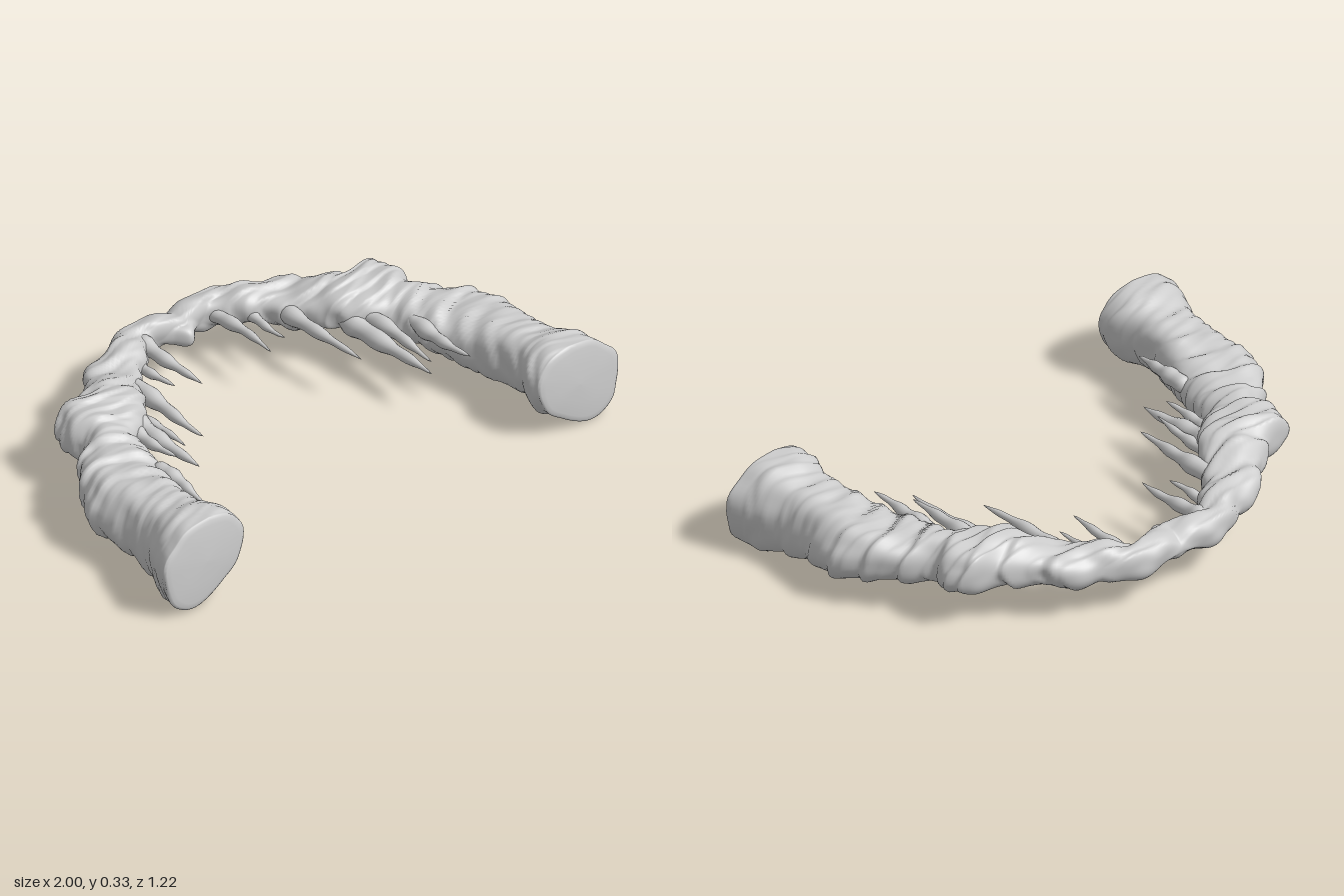
import * as THREE from 'three';

const material = new THREE.MeshStandardMaterial({ color: 0xcccccc, side: THREE.DoubleSide });

// Half of the arch, foot to crown: outer x, outer z, inner x, inner z, bottom y, top y
const STATIONS = [
  [0.995, 0.60, 0.65, 0.60, 0.03, 0.325],
  [0.975, 0.53, 0.655, 0.53, 0.015, 0.33],
  [0.93, 0.42, 0.68, 0.44, 0.04, 0.305],
  [0.915, 0.32, 0.66, 0.29, 0.05, 0.29],
  [0.93, 0.14, 0.61, 0.12, 0.07, 0.27],
  [0.89, 0.03, 0.585, 0.04, 0.09, 0.27],
  [0.81, -0.07, 0.55, -0.06, 0.10, 0.27],
  [0.73, -0.15, 0.49, -0.11, 0.10, 0.28],
  [0.75, -0.23, 0.43, -0.17, 0.11, 0.29],
  [0.71, -0.31, 0.41, -0.21, 0.12, 0.295],
  [0.59, -0.34, 0.38, -0.24, 0.12, 0.28],
  [0.51, -0.41, 0.34, -0.28, 0.12, 0.26],
  [0.41, -0.49, 0.28, -0.37, 0.12, 0.25],
  [0.28, -0.55, 0.21, -0.43, 0.12, 0.25],
  [0.14, -0.61, 0.12, -0.49, 0.12, 0.24],
  [0.07, -0.60, 0.06, -0.485, 0.13, 0.235],
  [0.00, -0.595, 0.00, -0.44, 0.13, 0.23],
];

// Hanging spikes: x, y, root z, tip z, radius
const SPIKES = [
  [-0.625, 0.21, 0.10, 0.37, 0.034],
  [-0.525, 0.20, -0.18, 0.10, 0.030],
  [-0.48, 0.18, -0.24, 0.16, 0.042],
  [-0.445, 0.19, -0.26, 0.06, 0.026],
  [-0.35, 0.19, -0.38, 0.04, 0.036],
  [-0.24, 0.18, -0.50, -0.25, 0.026],
  [-0.16, 0.19, -0.56, -0.20, 0.032],
  [0.155, 0.18, -0.56, -0.20, 0.028],
  [0.245, 0.18, -0.50, -0.24, 0.024],
  [0.335, 0.19, -0.42, 0.04, 0.032],
  [0.475, 0.18, -0.25, 0.25, 0.042],
  [0.515, 0.20, -0.20, 0.21, 0.034],
  [0.60, 0.22, -0.02, 0.30, 0.032],
];

const spow = (v, p) => Math.sign(v) * Math.abs(v) ** p;

// Sawtooth with a slow rise and a quick drop, range -0.5 to 0.5
function saw(s) {
  const f = s - Math.floor(s);
  return (f < 0.8 ? f / 0.8 : (1 - f) / 0.2) - 0.5;
}

// Layered rock relief: overlapping shelves stacked along z plus lumps
function relief(x, y, z) {
  const ax = Math.abs(x);
  const warp = 0.22 * Math.sin(9 * ax + 5 * y) + 0.2 * Math.sin(19 * y + 11 * ax);
  const patch = 0.5 + 0.5 * Math.sin(13 * ax + 17 * y + 5 * z);
  const shelves = saw(8.5 * z + 1.6 * ax + warp) * (0.5 + patch);
  const fine = saw(19 * z - 2.5 * ax + 1.5 * warp) * (1.3 - patch);
  const lumps = Math.sin(21 * ax + 3) * Math.sin(23 * y + 11 * z)
    + Math.sin(33 * ax - 29 * y) + 0.7 * Math.sin(47 * y + 38 * z) * Math.sin(41 * ax);
  return 0.015 * shelves + 0.008 * fine + 0.005 * lumps;
}

function rockArch() {
  const mirrored = STATIONS.slice(0, -1).reverse().map(([a, b, c, d, e, f]) => [-a, b, -c, d, e, f]);
  const all = [...STATIONS, ...mirrored].reverse(); // runs from -x to +x
  const curve = (pick) => new THREE.CatmullRomCurve3(all.map(pick), false, 'centripetal');
  const outer = curve((s) => new THREE.Vector3(s[0], 0, s[1]));
  const inner = curve((s) => new THREE.Vector3(s[2], 0, s[3]));
  const heights = curve((s, i) => new THREE.Vector3(i * 0.1, s[4], s[5]));

  // Ring list: parameter, scale; the ends close with a rounded flat face
  const N = 360, M = 56;
  const cap = [0, 0.5, 0.85, 0.95];
  const rings = [
    ...cap.map((s) => [0, s]),
    ...Array.from({ length: N + 1 }, (_, i) => [i / N, 1]),
    ...cap.slice().reverse().map((s) => [1, s]),
  ];

  const pos = [], index = [];
  rings.forEach(([t, scale], i) => {
    const o = outer.getPoint(t), n = inner.getPoint(t), h = heights.getPoint(t);
    const c = o.clone().add(n).multiplyScalar(0.5);
    const half = o.clone().sub(n).multiplyScalar(0.5);
    const dir = half.clone().normalize();
    const cy = (h.y + h.z) / 2, hy = (h.z - h.y) / 2;
    const foot = THREE.MathUtils.smoothstep(c.z, -0.1, 0.6);
    const bulge = scale < 1 ? 0.015 * Math.sqrt(1 - scale * scale) : 0;
    for (let j = 0; j < M; j++) {
      const a = (j / M) * Math.PI * 2;
      const u = spow(Math.cos(a), 0.85), v = spow(Math.sin(a), 0.85);
      const p = c.clone().addScaledVector(half, u * scale);
      // the foot hangs lower on its outer side, its top is nearly level
      const shear = v < 0 ? 0.015 - 0.045 * v : 0.015;
      p.y = cy + (hy * v - foot * shear * u) * scale;
      const d = relief(p.x, p.y, p.z) * scale * (1 - 0.45 * foot);
      p.addScaledVector(dir, d * Math.cos(a));
      p.y += d * Math.sin(a);
      // end faces lean forward at the bottom
      p.z += bulge - foot ** 4 * 0.06 * (p.y - 0.17);
      pos.push(THREE.MathUtils.clamp(p.x, -1, 1), Math.max(p.y, 0), p.z);
      if (i < rings.length - 1) {
        const k = (j + 1) % M, r = i * M;
        index.push(r + j, r + k, r + M + j, r + k, r + M + k, r + M + j);
      }
    }
  });
  const g = new THREE.BufferGeometry();
  g.setAttribute('position', new THREE.Float32BufferAttribute(pos, 3));
  g.setIndex(index);
  g.computeVertexNormals();
  return g;
}

// Knobbly tapering spike pointing along +z, with a rounded root
function spike(length, r, seed) {
  const steps = 24, profile = [];
  for (let i = 0; i <= steps; i++) {
    const t = i / steps;
    const root = Math.sqrt(Math.min(1, t / 0.2));
    const taper = root * (0.75 * (1 - t) + 0.4 * Math.sqrt(1 - t));
    profile.push(new THREE.Vector2(r * taper * (1 + 0.13 * Math.sin(t * 21 + seed)), t * length));
  }
  const g = new THREE.LatheGeometry(profile, 14);
  g.rotateX(Math.PI / 2);
  const p = g.attributes.position;
  for (let i = 0; i < p.count; i++) {
    const k = p.getZ(i) / length;
    p.setX(i, p.getX(i) + 0.008 * k * Math.sin(5 * k + seed));
    p.setY(i, p.getY(i) * 1.1 + 0.006 * Math.sin(4 * k + seed * 2));
  }
  g.computeVertexNormals();
  return g;
}

export function createModel() {
  const model = new THREE.Group();
  model.name = 'rockArch';

  const arch = new THREE.Mesh(rockArch(), material);
  arch.name = 'archBody';
  model.add(arch);

  const spikes = new THREE.Group();
  spikes.name = 'stalactites';
  SPIKES.forEach(([x, y, z0, z1, r], i) => {
    const m = new THREE.Mesh(spike(z1 - z0, r, i * 1.7), material);
    m.name = 'stalactite';
    m.position.set(x, y, z0);
    spikes.add(m);
  });
  model.add(spikes);
  return model;
}
